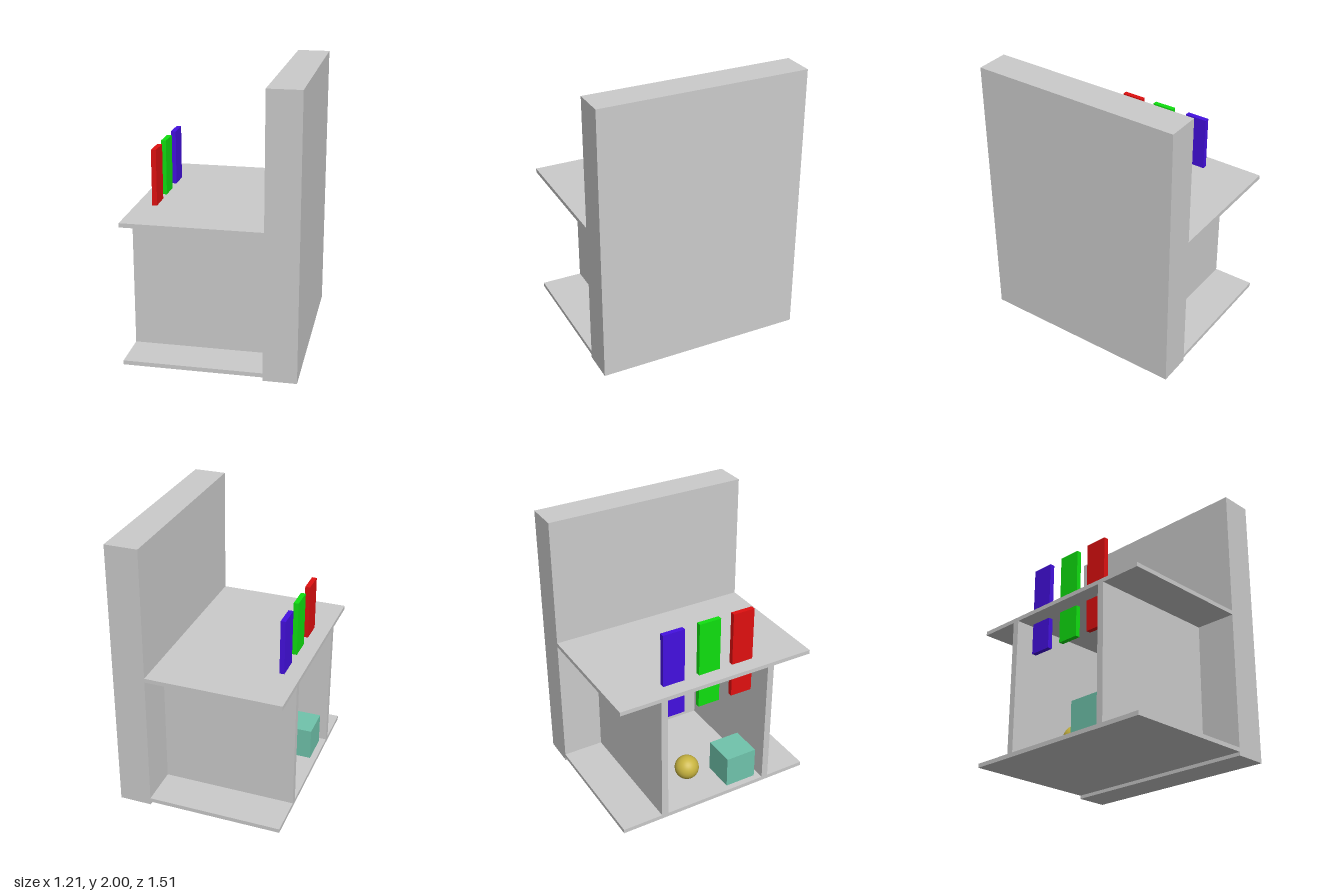
import * as THREE from 'three';

export function createModel() {
  const group = new THREE.Group();
  const grey = new THREE.MeshStandardMaterial({ color: 0xcccccc });
  const paint = (color) => new THREE.MeshStandardMaterial({ color });

  // Box given by its minimum and maximum corners
  const box = (name, [x0, y0, z0], [x1, y1, z1], material = grey) => {
    const mesh = new THREE.Mesh(new THREE.BoxGeometry(x1 - x0, y1 - y0, z1 - z0), material);
    mesh.position.set((x0 + x1) / 2, (y0 + y1) / 2, (z0 + z1) / 2);
    mesh.name = name;
    group.add(mesh);
  };

  // Tall slab and the two shelves fixed to it
  box('backPanel', [0.37, 0, -0.755], [0.605, 2, 0.755]);
  box('bottomShelf', [-0.605, 0.025, -0.755], [0.37, 0.055, 0.755]);
  box('topShelf', [-0.605, 1.03, -0.755], [0.37, 1.06, 0.755]);

  // Upright dividers between the shelves
  box('leftDivider', [-0.605, 0.055, 0.4], [0.37, 1.03, 0.45]);
  box('rightDivider', [-0.605, 0.055, -0.45], [0.37, 1.03, -0.4]);

  // Coloured slats passing through the top shelf
  [['redSlat', 0.26, 0xe01010], ['greenSlat', -0.007, 0x10e010], ['blueSlat', -0.287, 0x4410e0]]
    .forEach(([name, z, color]) =>
      box(name, [-0.49, 0.8, z - 0.083], [-0.455, 1.46, z + 0.083], paint(color)));

  // Loose objects on the bottom shelf
  box('cube', [-0.56, 0.055, 0.12], [-0.32, 0.295, 0.36], paint(0x70c4ac));
  const ball = new THREE.Mesh(new THREE.SphereGeometry(0.09, 32, 20), paint(0xc8b440));
  ball.position.set(-0.32, 0.145, -0.08);
  ball.name = 'ball';
  group.add(ball);

  return group;
}
